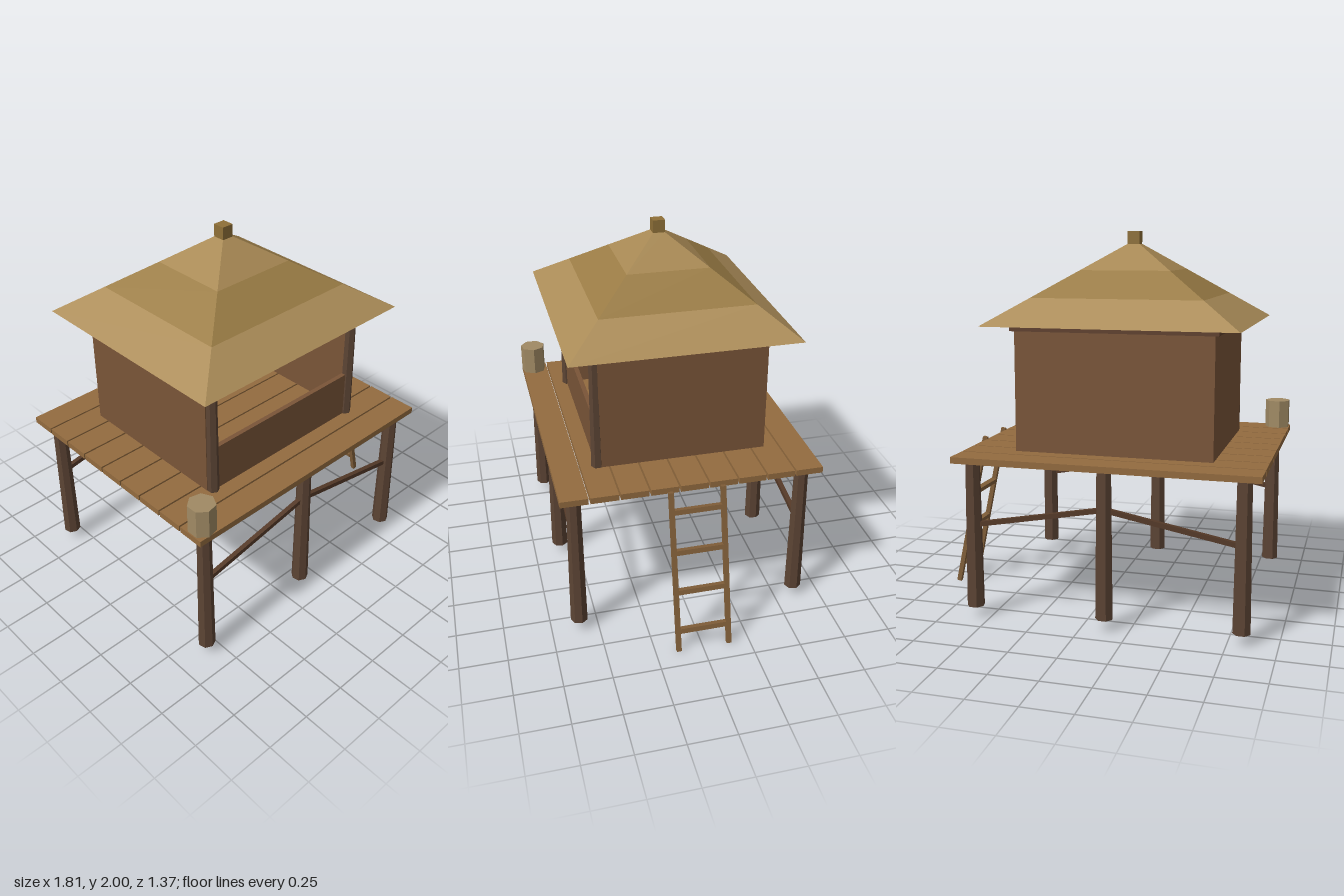
import * as THREE from 'three';

const CX = -0.12, CZ = -0.005; // hut centre
const mat = (color, side = THREE.FrontSide) =>
  new THREE.MeshStandardMaterial({ color, flatShading: true, side });
const MAT = {
  plank: mat(0x936b3f), post: mat(0x5c4434), brace: mat(0x553a28), wall: mat(0x7a5538),
  beam: mat(0x5f3f2b), rung: mat(0x83603a), barrel: mat(0xa08a64), cap: mat(0x8f7038), panel: mat(0xcccccc),
};

function add(parent, name, geometry, material, x = 0, y = 0, z = 0) {
  const mesh = new THREE.Mesh(geometry, material);
  mesh.name = name;
  mesh.position.set(x, y, z);
  parent.add(mesh);
  return mesh;
}

// Box given by its minimum and maximum on each axis
function box(parent, name, material, [x0, x1], [y0, y1], [z0, z1]) {
  return add(parent, name, new THREE.BoxGeometry(x1 - x0, y1 - y0, z1 - z0), material,
    (x0 + x1) / 2, (y0 + y1) / 2, (z0 + z1) / 2);
}

// Square bar between two points
function bar(parent, name, material, a, b, size) {
  const from = new THREE.Vector3(...a), to = new THREE.Vector3(...b);
  const mesh = add(parent, name, new THREE.BoxGeometry(size, size, from.distanceTo(to)), material);
  mesh.position.copy(from).lerp(to, 0.5);
  mesh.lookAt(to);
  return mesh;
}

// One ring of the four-sided roof, between heights given as fractions
function roofTier(t0, t1) {
  const ring = (t) => {
    const w = THREE.MathUtils.lerp(0.66, 0.03, t), d = THREE.MathUtils.lerp(0.593, 0.03, t);
    const y = THREE.MathUtils.lerp(1.525, 1.935, t);
    return [[-w, y, d], [w, y, d], [w, y, -d], [-w, y, -d]];
  };
  const low = ring(t0), high = ring(t1), points = [];
  for (let i = 0; i < 4; i++) {
    const j = (i + 1) % 4;
    points.push(...low[i], ...low[j], ...high[j], ...low[i], ...high[j], ...high[i]);
  }
  const g = new THREE.BufferGeometry();
  g.setAttribute('position', new THREE.Float32BufferAttribute(points, 3));
  g.computeVertexNormals();
  return g;
}

export function createModel() {
  const model = new THREE.Group();
  model.name = 'stiltHut';
  const group = (name) => {
    const g = new THREE.Group();
    g.name = name;
    model.add(g);
    return g;
  };

  // Deck of nine planks
  const deck = group('deck');
  for (let i = 0; i < 9; i++) {
    const z = -0.69 + i * 0.1532;
    box(deck, 'plank', MAT.plank, [-0.91, 0.67], [0.835, 0.868], [z, z + 0.144]);
  }

  // Six stilts, with sloping braces along the front and back rows
  const stilts = group('stilts');
  const stiltGeo = new THREE.CylinderGeometry(0.038, 0.046, 0.78, 7);
  for (const z of [0.6, -0.606]) {
    for (const x of [-0.82, CX, 0.583]) add(stilts, 'stilt', stiltGeo, MAT.post, x, 0.448, z);
    for (const x of [-0.82, 0.583]) bar(stilts, 'brace', MAT.brace, [x, 0.498, z], [CX, 0.628, z], 0.025);
  }

  // Hut walls, open above the low front wall
  const hut = group('hut');
  const floorY = 0.868, topY = 1.497;
  box(hut, 'backWall', MAT.wall, [-0.64, 0.4], [floorY, topY], [-0.46, -0.435]);
  box(hut, 'backWallLining', MAT.panel, [-0.615, 0.375], [floorY, topY], [-0.435, -0.43]);
  box(hut, 'leftWall', MAT.wall, [0.375, 0.4], [floorY, topY], [-0.435, 0.425]);
  box(hut, 'rightWall', MAT.wall, [-0.64, -0.615], [floorY, topY], [-0.435, 0.425]);
  box(hut, 'frontLowWall', MAT.wall, [-0.6, 0.36], [floorY, 1.12], [0.42, 0.445]);
  const cornerGeo = new THREE.CylinderGeometry(0.027, 0.032, topY - floorY, 6);
  for (const x of [-0.61, 0.375]) add(hut, 'cornerPost', cornerGeo, MAT.post, x, (floorY + topY) / 2, 0.438);

  // Beams round the top of the walls
  const beamY = [1.495, 1.527];
  for (const z of [-0.478, 0.43]) box(hut, 'topBeam', MAT.beam, [-0.66, 0.42], beamY, [z, z + 0.04]);
  for (const x of [-0.66, 0.38]) box(hut, 'topBeam', MAT.beam, [x, x + 0.04], beamY, [-0.438, 0.43]);

  // Thatched roof in three bands, open underneath
  const roof = group('roof');
  [0xab8c58, 0x9a7c45, 0xa78853].forEach((color, i) =>
    add(roof, 'thatchBand', roofTier(i / 3, (i + 1) / 3), mat(color, THREE.DoubleSide), CX, 0, CZ));
  add(roof, 'roofCap', new THREE.BoxGeometry(0.064, 0.07, 0.064), MAT.cap, CX, 1.965, CZ);

  // Barrel on the front corner of the deck
  add(model, 'barrel', new THREE.CylinderGeometry(0.071, 0.071, 0.157, 7, 1, false, Math.PI / 2),
    MAT.barrel, -0.84, 0.946, 0.615);

  // Leaning ladder
  const ladder = group('ladder');
  for (const z of [-0.14, 0.13])
    bar(ladder, 'rail', MAT.rung, [0.708, 0.865, z], [0.892, 0.003, z], 0.025);
  for (let i = 0; i < 4; i++) {
    const y = 0.115 + i * 0.215;
    const rung = box(ladder, 'rung', MAT.rung, [-0.015, 0.015], [y - 0.013, y + 0.013], [-0.13, 0.12]);
    rung.position.x = 0.892 - y * 0.2135;
    rung.rotation.z = 0.21;
  }
  return model;
}
